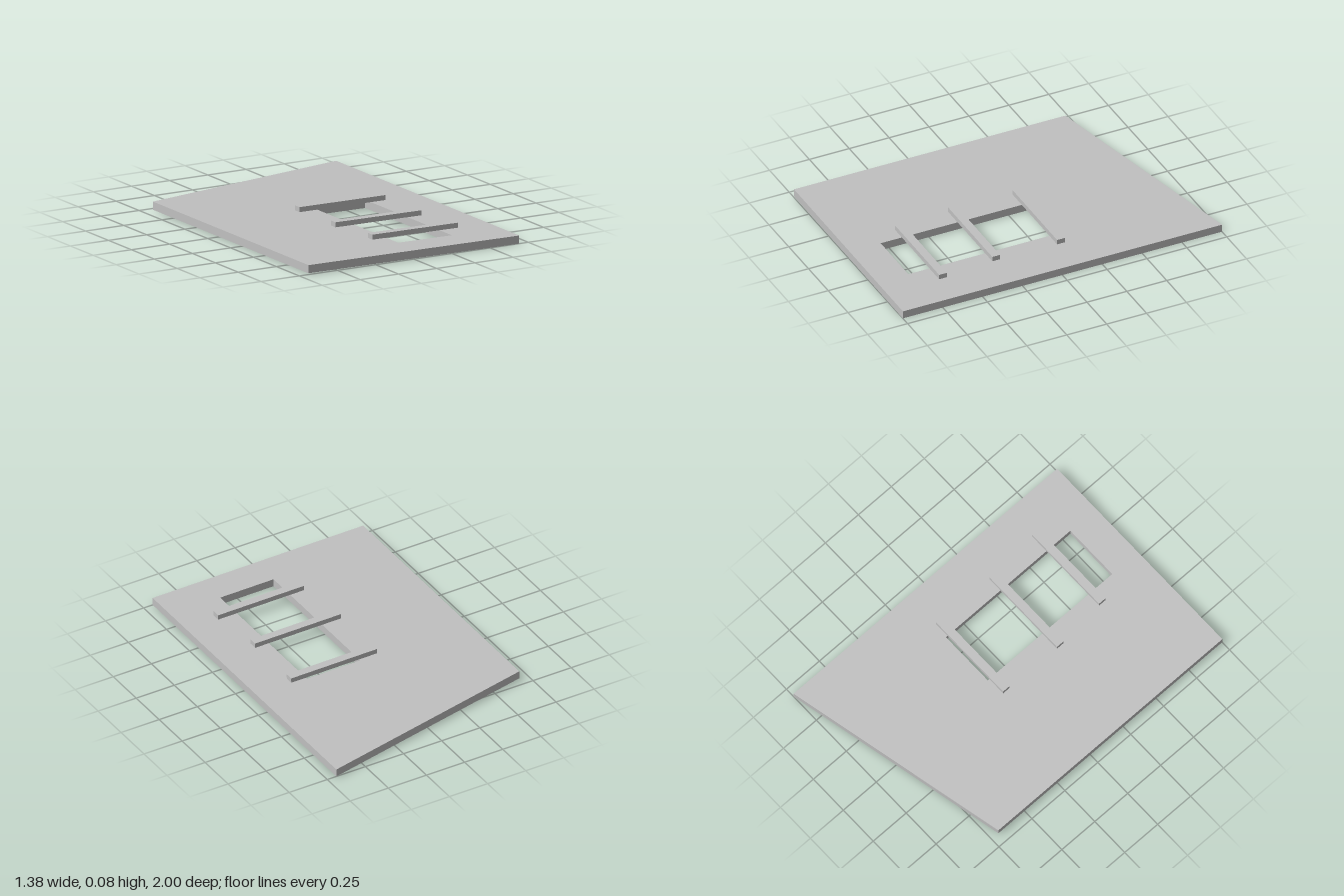
import * as THREE from 'three';

export function createModel() {
  const model = new THREE.Group();
  model.name = 'slabWithBars';
  const grey = new THREE.MeshStandardMaterial({ color: 0xc0c0c0 });
  grey.name = 'light grey';

  // Everything lies on a very slight sideways slope
  const tilted = new THREE.Group();
  tilted.name = 'slopedAssembly';
  tilted.rotation.z = -0.0055;
  tilted.position.y = 0.0038;
  model.add(tilted);

  // Slab with a slanted back edge and a rectangular opening (drawn in x, z)
  const thickness = 0.047;
  const points = (list) => list.map(([x, z]) => new THREE.Vector2(x, z));
  const outline = new THREE.Shape(points([[-0.69, 1], [-0.69, -0.7], [0.69, -1], [0.69, 1]]));
  outline.holes.push(new THREE.Path(points([[0.015, -0.14], [0.365, -0.14], [0.365, 0.805], [0.015, 0.805]])));
  const slabGeometry = new THREE.ExtrudeGeometry(outline, { depth: thickness, bevelEnabled: false });
  slabGeometry.rotateX(Math.PI / 2).translate(0, thickness, 0);
  const slab = new THREE.Mesh(slabGeometry, grey);
  slab.name = 'slab';
  tilted.add(slab);

  // Three bars lying across the opening
  const barHeight = 0.029;
  const barGeometry = new THREE.BoxGeometry(0.562, barHeight, 0.049);
  [[0.18, -0.104], [0.174, 0.299], [0.206, 0.648]].forEach(([x, z], i) => {
    const bar = new THREE.Mesh(barGeometry, grey);
    bar.name = `crossBar${i + 1}`;
    bar.position.set(x, thickness + barHeight / 2, z);
    tilted.add(bar);
  });

  return model;
}
